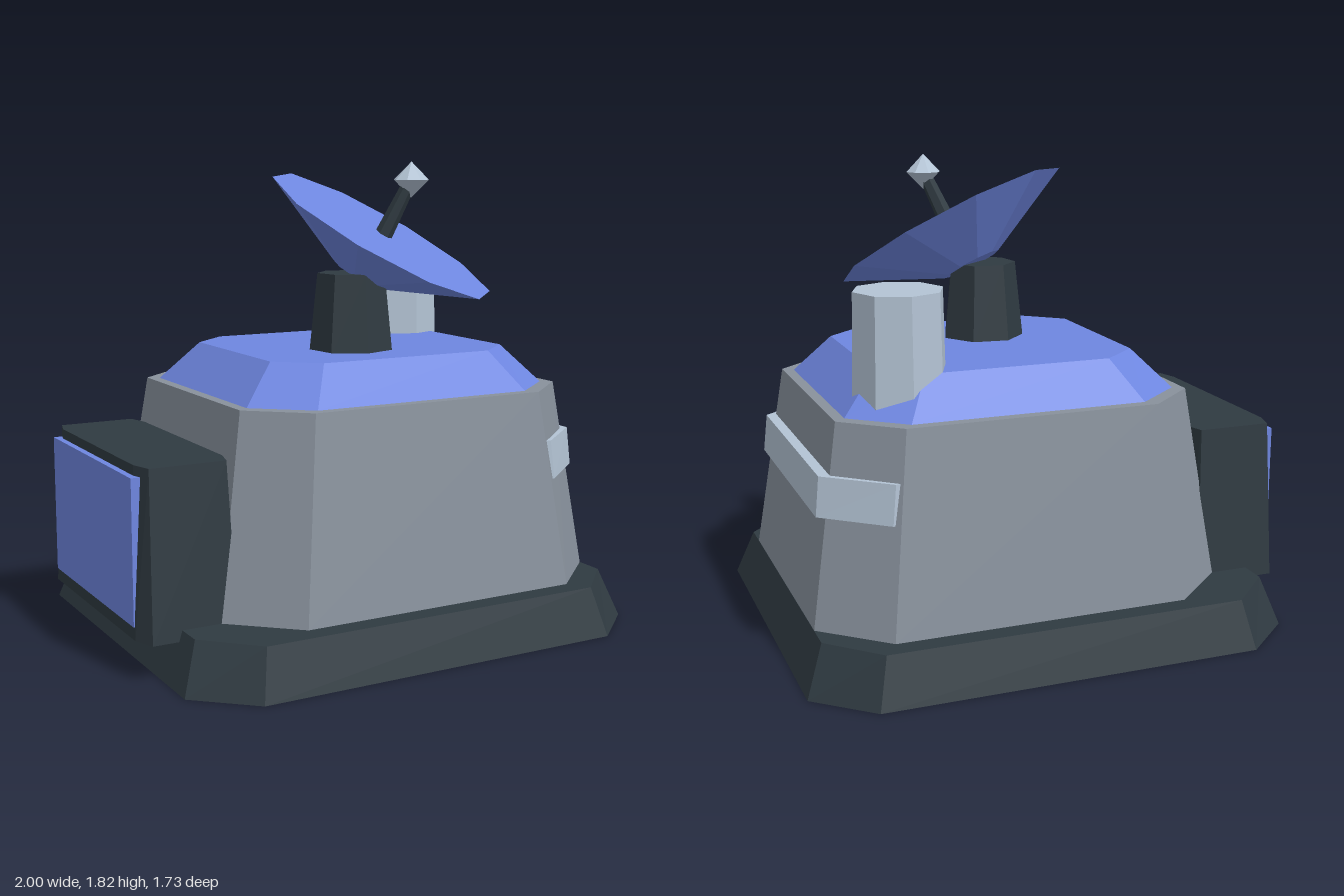
import * as THREE from 'three';

const paint = (name, hex) => {
  const m = new THREE.MeshStandardMaterial({ color: hex });
  m.name = name;
  return m;
};

// Faceted solid through closed loops listed from bottom to top (counter-clockwise from above)
function loft(rings) {
  const pos = [];
  const tri = (...pts) => pts.forEach((p) => pos.push(p.x, p.y, p.z));
  const middle = (r) => r.reduce((s, p) => s.add(p), new THREE.Vector3()).divideScalar(r.length);
  const n = rings[0].length;
  const first = rings[0], last = rings[rings.length - 1];
  const c0 = middle(first), c1 = middle(last);
  for (let i = 0; i < n; i++) {
    const j = (i + 1) % n;
    for (let k = 0; k + 1 < rings.length; k++) {
      const a = rings[k], b = rings[k + 1];
      tri(a[i], a[j], b[j]);
      tri(a[i], b[j], b[i]);
    }
    tri(first[j], first[i], c0);
    tri(last[i], last[j], c1);
  }
  const g = new THREE.BufferGeometry();
  g.setAttribute('position', new THREE.Float32BufferAttribute(pos, 3));
  g.computeVertexNormals();
  return g;
}

// Rectangle with cut corners: half sizes hx, hz and half lengths ix, iz of the straight edges
function cutRect(cx, y, hx, hz, ix, iz) {
  return [[hx, iz], [hx, -iz], [ix, -hz], [-ix, -hz], [-hx, -iz], [-hx, iz], [-ix, hz], [ix, hz]]
    .map(([x, z]) => new THREE.Vector3(cx + x, y, z));
}

function flat(geometry) {
  const g = geometry.index ? geometry.toNonIndexed() : geometry;
  g.computeVertexNormals();
  return g;
}

export function createModel() {
  const group = new THREE.Group();
  const dark = paint('charcoal', 0x2f3a41);
  const grey = paint('wall grey', 0x88919c);
  const blue = paint('blue', 0x6e86e0);
  const light = paint('pale steel', 0xb3c3d4);

  const add = (name, geometry, material, x = 0, y = 0, z = 0) => {
    const mesh = new THREE.Mesh(geometry, material);
    mesh.name = name;
    mesh.position.set(x, y, z);
    group.add(mesh);
    return mesh;
  };

  // Building tiers
  add('base', loft([
    cutRect(0.04, 0, 0.957, 0.863, 0.743, 0.675),
    cutRect(0.038, 0.187, 0.89, 0.805, 0.703, 0.62),
  ]), dark);
  add('walls', loft([
    cutRect(0.112, 0.187, 0.815, 0.725, 0.573, 0.507),
    cutRect(0.112, 0.943, 0.7, 0.627, 0.49, 0.443),
  ]), grey);
  add('roof', loft([
    cutRect(0.112, 0.943, 0.658, 0.582, 0.457, 0.412),
    cutRect(0.114, 1.092, 0.519, 0.457, 0.366, 0.322),
  ]), blue);

  // Band wrapping the right-hand wall and its cut corners
  const path = [[0.65, 0.648], [0.882, 0.454], [0.882, -0.454], [0.65, -0.648]];
  const band = new THREE.Group();
  band.name = 'wallBand';
  for (let k = 0; k < 3; k++) {
    const ring = (y, grow) => {
      const p = ([x, z], inset) => new THREE.Vector3(x + grow - inset, y, z * (1 + grow - inset * 0.4));
      return [p(path[k], 0), p(path[k + 1], 0), p(path[k + 1], 0.05), p(path[k], 0.05)];
    };
    const piece = new THREE.Mesh(loft([ring(0.6, 0.015), ring(0.75, 0)]), light);
    piece.name = 'bandPiece';
    band.add(piece);
  }
  group.add(band);

  // Side unit with its panel
  add('sideUnit', loft([
    cutRect(-0.8, 0.147, 0.198, 0.513, 0.165, 0.43),
    cutRect(-0.802, 0.772, 0.172, 0.467, 0.148, 0.38),
  ]), dark);
  add('sidePanel', new THREE.BoxGeometry(0.04, 0.54, 0.845), blue, -0.98, 0.465, 0);

  // Chimney and dish pedestal
  add('chimney', flat(new THREE.CylinderGeometry(0.172, 0.182, 0.445, 8)), light, 0.537, 1.1625, -0.33);
  add('pedestal', flat(new THREE.CylinderGeometry(0.135, 0.167, 0.31, 7)), dark, 0.043, 1.237, 0.142)
    .rotation.y = -0.1;

  // Oval ten-sided dish, tilted towards the front right
  const centre = new THREE.Vector3(0.153, 1.538, 0.202);
  const n = new THREE.Vector3(0.341, 0.855, 0.391).normalize();
  const u = new THREE.Vector3(-0.847, 0.46, -0.268).normalize();
  const v = new THREE.Vector3().crossVectors(n, u);
  const oval = (scale, depth) => Array.from({ length: 10 }, (_, i) => {
    const a = (i * Math.PI) / 5;
    return centre.clone().addScaledVector(n, -depth)
      .addScaledVector(u, 0.493 * scale * Math.cos(a))
      .addScaledVector(v, 0.383 * scale * Math.sin(a));
  });
  add('dish', loft([oval(0.25, 0.18), oval(1, 0)]), blue);

  // Feed rod and its pointed tip
  const foot = new THREE.Vector3(0.16, 1.52, 0.174);
  const tip = new THREE.Vector3(0.254, 1.752, 0.242);
  const dir = tip.clone().sub(foot);
  const rod = add('feedRod', flat(new THREE.CylinderGeometry(0.026, 0.036, dir.length(), 6)), dark);
  rod.position.copy(foot).addScaledVector(dir, 0.5);
  rod.quaternion.setFromUnitVectors(new THREE.Vector3(0, 1, 0), dir.normalize());
  add('feedTip', flat(new THREE.SphereGeometry(0.07, 8, 2)), light, tip.x, tip.y, tip.z);

  return group;
}
